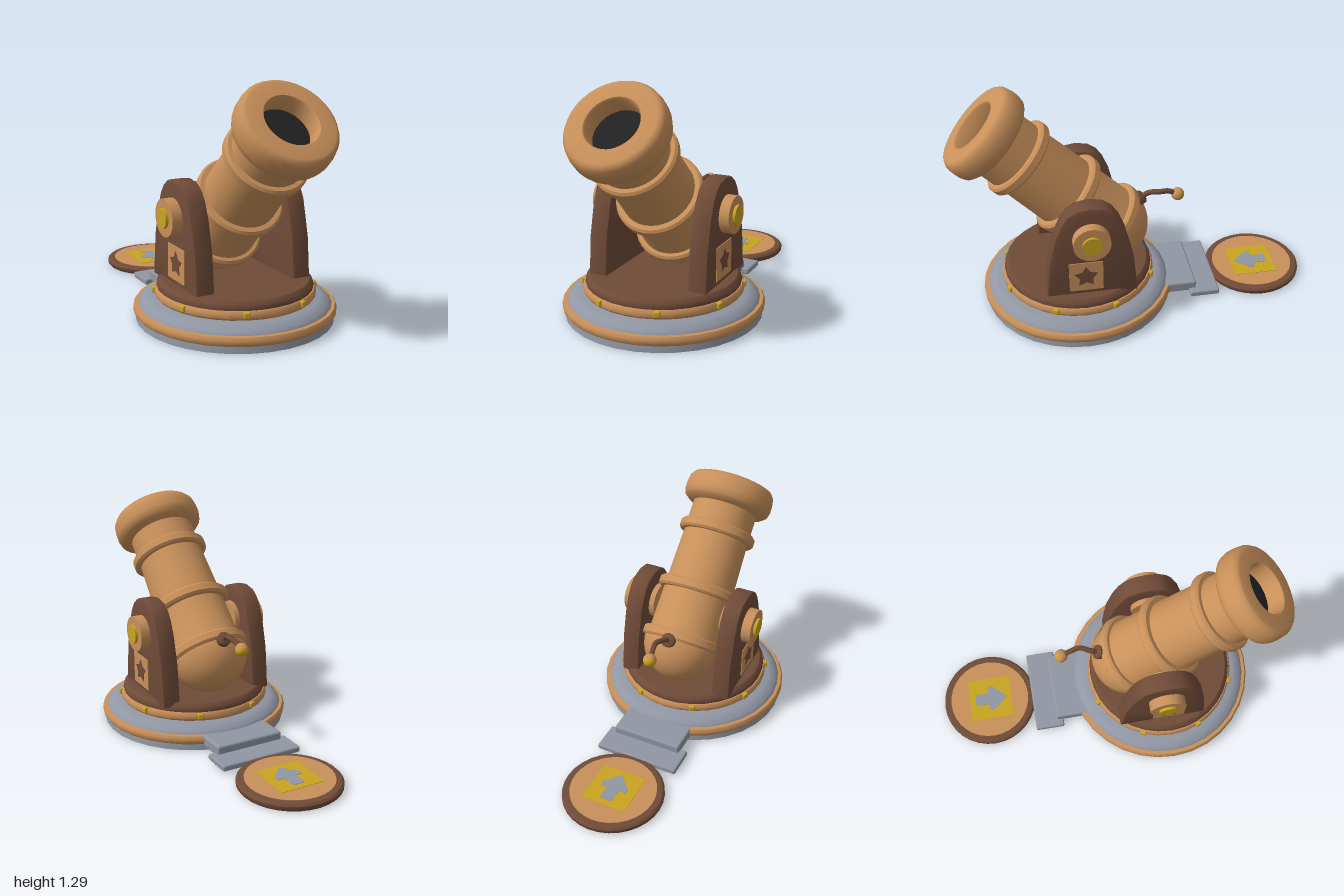
import * as THREE from 'three';
import { toCreasedNormals } from 'three/addons/utils/BufferGeometryUtils.js';
import { RoundedBoxGeometry } from 'three/addons/geometries/RoundedBoxGeometry.js';

const mat = (name, color) => new THREE.MeshStandardMaterial({ name, color });

export function createModel() {
  const wood = mat('light wood', 0xc8905a);
  const brown = mat('dark wood', 0x704b38);
  const grey = mat('grey stone', 0x9096a3);
  const gold = mat('gold', 0xc9a420);
  const black = mat('bore black', 0x222222);

  const model = new THREE.Group();
  const add = (name, geo, material, pos = [0, 0, 0], parent = model) => {
    const mesh = new THREE.Mesh(geo, material);
    mesh.name = name;
    mesh.position.set(...pos);
    parent.add(mesh);
    return mesh;
  };
  const lathe = (points, segments = 32) => toCreasedNormals(
    new THREE.LatheGeometry(points.map(([r, y]) => new THREE.Vector2(r, y)), segments), 0.7);
  const shapeOf = (points) => new THREE.Shape(points.map(([x, y]) => new THREE.Vector2(x, y)));
  // Flat plate, centred on its own thickness
  const plate = (shape, depth, bevel = 0) => {
    const geo = new THREE.ExtrudeGeometry(shape, {
      depth: depth - 2 * bevel, bevelEnabled: bevel > 0, bevelSize: bevel, bevelOffset: -bevel,
      bevelThickness: bevel, bevelSegments: 2, curveSegments: 8,
    });
    geo.translate(0, 0, bevel - depth / 2 - bevel);
    geo.translate(0, 0, bevel);
    return toCreasedNormals(geo, 0.6);
  };
  // Plate standing in the z-y plane, shape x running along z
  const sidePlate = (...args) => plate(...args).rotateY(-Math.PI / 2);

  // Round stepped base
  const base = new THREE.Group();
  base.name = 'base';
  base.position.z = 0.32;
  model.add(base);
  add('baseFoot', lathe([[0, 0], [0.53, 0], [0.525, 0.04], [0.515, 0.085], [0.5, 0.1],
    [0.475, 0.118], [0.455, 0.124], [0, 0.124]]), grey, [0, 0, 0], base);
  add('lowerHoop', lathe([[0.5, 0.035], [0.533, 0.037], [0.542, 0.05], [0.542, 0.07],
    [0.533, 0.084], [0.5, 0.087]]), wood, [0, 0, 0], base);
  add('turntable', lathe([[0.4, 0.124], [0.415, 0.17], [0.418, 0.185], [0.412, 0.205],
    [0.395, 0.22], [0, 0.22]]), brown, [0, 0, 0], base);
  add('upperHoop', lathe([[0.39, 0.124], [0.422, 0.127], [0.431, 0.138], [0.431, 0.162],
    [0.422, 0.174], [0.39, 0.176]]), wood, [0, 0, 0], base);
  for (let i = 0; i < 8; i++) {
    const a = (i + 0.5) * Math.PI / 4;
    const stud = add('stud', new RoundedBoxGeometry(0.034, 0.034, 0.03, 2, 0.008), gold,
      [Math.sin(a) * 0.427, 0.157, Math.cos(a) * 0.427], base);
    stud.rotation.y = a;
  }

  // Barrel, drawn along its axis with the pivot at the origin
  const barrel = new THREE.Group();
  barrel.name = 'barrel';
  barrel.position.set(0, 0.57, 0.277);
  barrel.rotation.x = Math.PI / 4;
  model.add(barrel);
  const breech = [];
  for (let i = 0; i <= 10; i++) {
    const a = i / 10 * Math.PI / 2;
    breech.push([0.22 * Math.sin(a), -0.2 - 0.22 * Math.cos(a)]);
  }
  add('barrelBody', lathe([...breech, [0.205, -0.15], [0.2, 0.1], [0.19, 0.45], [0.19, 0.62],
    [0.23, 0.632], [0.252, 0.65], [0.26, 0.68], [0.26, 0.72], [0.254, 0.755], [0.24, 0.775],
    [0.225, 0.78], [0.145, 0.78], [0.138, 0.77], [0.138, 0.67]], 36), wood, [0, 0, 0], barrel);
  for (const [s, r] of [[-0.185, 0.237], [0.115, 0.237], [0.472, 0.224]]) {
    add('barrelRing', lathe([[r - 0.05, s - 0.03], [r - 0.012, s - 0.03], [r, s - 0.018],
      [r, s + 0.018], [r - 0.012, s + 0.03], [r - 0.05, s + 0.03]], 36), wood, [0, 0, 0], barrel);
  }
  add('bore', new THREE.CircleGeometry(0.14, 36).rotateX(-Math.PI / 2), black, [0, 0.68, 0], barrel);

  // Side supports with trunnions and star panels
  const half = [[0.25, 0.2], [0.228, 0.43], [0.19, 0.585], [0.155, 0.67], [0.12, 0.72], [0.075, 0.752], [0, 0.765]];
  const outline = [...half, ...half.slice(0, -1).reverse().map(([x, y]) => [-x, y])];
  const star = [];
  for (let i = 0; i < 10; i++) {
    const a = Math.PI / 2 + i * Math.PI / 5, r = i % 2 ? 0.038 : 0.066;
    star.push([r * Math.cos(a), r * Math.sin(a)]);
  }
  const square = (h) => shapeOf([[-h, -h], [h, -h], [h, h], [-h, h]]);
  for (const side of [1, -1]) {
    const support = new THREE.Group();
    support.name = side > 0 ? 'leftSupport' : 'rightSupport';
    model.add(support);
    add('cheek', sidePlate(shapeOf(outline), 0.105, 0.012), brown, [side * 0.288, 0, 0.278], support);
    add('trunnion', new THREE.CylinderGeometry(0.1, 0.1, 0.19, 28).rotateZ(Math.PI / 2), wood,
      [side * 0.3, 0.573, 0.278], support);
    add('trunnionCap', new THREE.CylinderGeometry(0.053, 0.053, 0.04, 20).rotateZ(Math.PI / 2), gold,
      [side * 0.39, 0.573, 0.278], support);
    add('panel', sidePlate(square(0.092), 0.008), wood, [side * 0.341, 0.332, 0.31], support);
    add('star', sidePlate(shapeOf(star), 0.008), brown, [side * 0.344, 0.332, 0.31], support);
  }

  // Firing lever behind the breech
  const collar = add('leverCollar', lathe([[0, -0.03], [0.04, -0.03], [0.04, 0.012], [0.03, 0.02], [0, 0.02]], 16),
    brown, [0, 0.572, -0.045]);
  collar.quaternion.setFromUnitVectors(new THREE.Vector3(0, 1, 0), new THREE.Vector3(0, 0.62, -0.78).normalize());
  const leverPath = new THREE.CatmullRomCurve3([[0, 0.575, -0.05], [0.005, 0.603, -0.09], [0.026, 0.616, -0.15],
    [0.018, 0.61, -0.2], [0.01, 0.58, -0.255]].map((p) => new THREE.Vector3(...p)));
  add('lever', new THREE.TubeGeometry(leverPath, 24, 0.015, 8), brown);
  const knob = new THREE.Group();
  knob.name = 'leverKnob';
  knob.position.set(0.01, 0.58, -0.255);
  knob.rotation.x = Math.PI / 4;
  model.add(knob);
  add('knobFront', new THREE.SphereGeometry(0.037, 20, 8, 0, Math.PI * 2, 0, Math.PI / 2), wood, [0, 0, 0], knob);
  add('knobBack', new THREE.SphereGeometry(0.037, 20, 8, 0, Math.PI * 2, Math.PI / 2, Math.PI / 2), gold, [0, 0, 0], knob);

  // Steps down to the rear pad
  add('upperStep', new RoundedBoxGeometry(0.4, 0.062, 0.22, 2, 0.012), grey, [0, 0.057, -0.228]);
  add('lowerStep', new RoundedBoxGeometry(0.48, 0.034, 0.17, 2, 0.01), grey, [0, 0.027, -0.383]);

  // Rear pad with arrow marking
  const pad = new THREE.Group();
  pad.name = 'rearPad';
  pad.position.z = -0.724;
  model.add(pad);
  add('padRim', lathe([[0, 0], [0.268, 0], [0.276, 0.01], [0.276, 0.028], [0.266, 0.038],
    [0.24, 0.04], [0, 0.036]]), brown, [0, 0, 0], pad);
  add('padTop', new THREE.CylinderGeometry(0.235, 0.235, 0.008, 32), wood, [0, 0.038, 0], pad);
  add('padSquare', plate(square(0.127), 0.006).rotateX(-Math.PI / 2), gold, [0, 0.041, 0.005], pad);
  const arrow = shapeOf([[-0.035, 0.09], [-0.035, 0.01], [-0.075, 0.01], [-0.075, -0.02], [0, -0.1],
    [0.075, -0.02], [0.075, 0.01], [0.035, 0.01], [0.035, 0.09]]);
  add('padArrow', plate(arrow, 0.006).rotateX(-Math.PI / 2), grey, [0, 0.043, 0.005], pad);

  return model;
}
